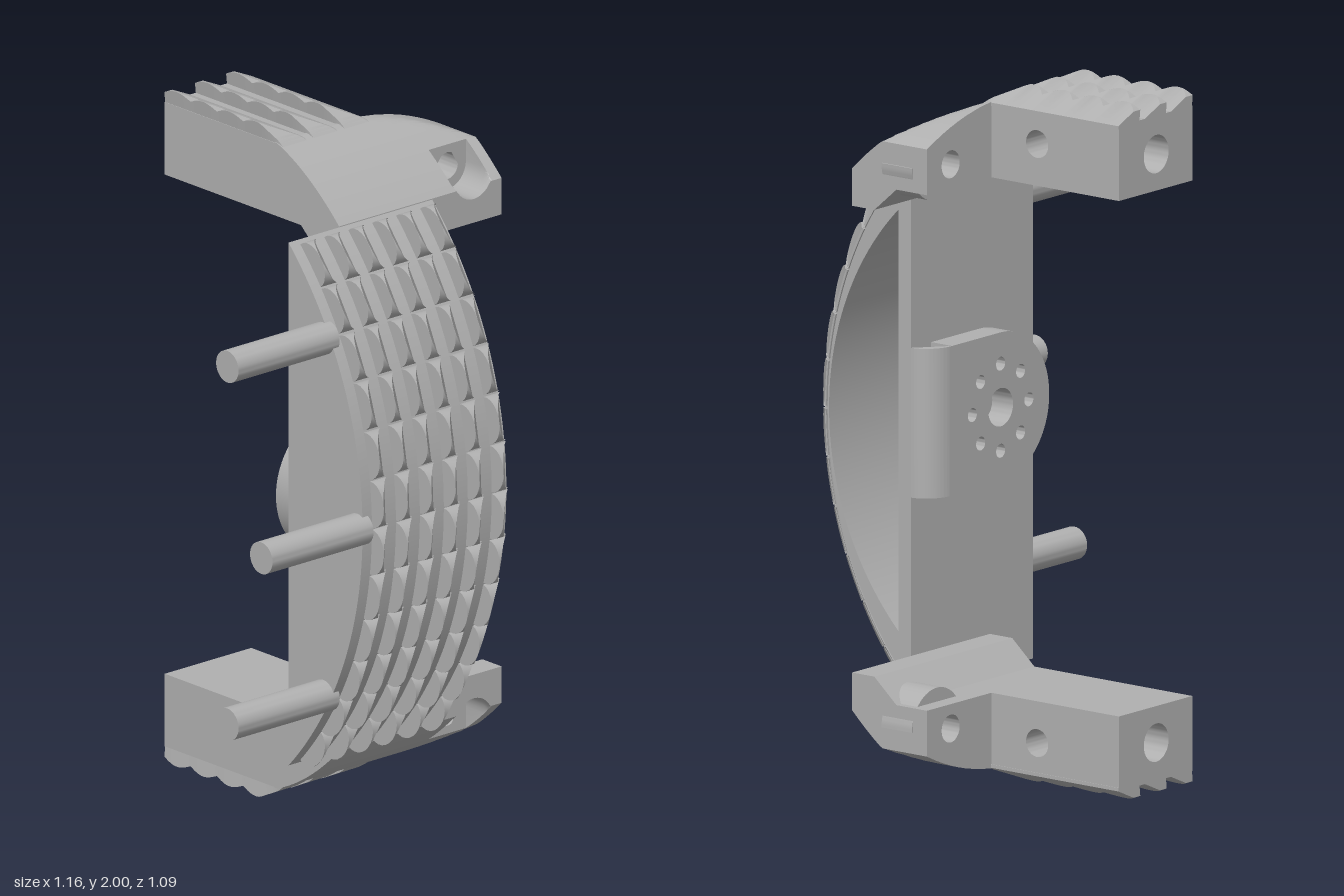
import * as THREE from 'three';
import { mergeGeometries, toCreasedNormals } from 'three/addons/utils/BufferGeometryUtils.js';

const grey = new THREE.MeshStandardMaterial({ color: 0xb0b0b0 });
grey.name = 'plain grey';

const CY = 1;                    // mirror height of the whole model
const R = 1.124, CZ = -0.634;    // curved face radius and centre

const pts = (list) => new THREE.Shape(list.map(([x, y]) => new THREE.Vector2(x, y)));
const hole = (shape, x, y, r) => {
  shape.holes.push(new THREE.Path().absarc(x, y, r, 0, Math.PI * 2, true));
  return shape;
};
const extrude = (shape, depth, steps = 1) =>
  new THREE.ExtrudeGeometry(shape, { depth, steps, bevelEnabled: false, curveSegments: 24 });

// Extrude along z, or along x from a profile drawn in (-z, y)
const alongZ = (shape, z0, z1, steps) => extrude(shape, z1 - z0, steps).translate(0, 0, z0);
const alongX = (shape, x0, x1) => extrude(shape, x1 - x0).rotateY(Math.PI / 2).translate(x0, 0, 0);

function mesh(name, geo) {
  const m = new THREE.Mesh(toCreasedNormals(geo, 0.5), grey);
  m.name = name;
  return m;
}

// Solid through equal-length convex sections
function loft(sections) {
  const n = sections[0].length, pos = [], idx = [];
  sections.forEach((s) => s.forEach((p) => pos.push(...p)));
  for (let i = 0; i < sections.length - 1; i++) {
    for (let j = 0; j < n; j++) {
      const a = i * n + j, b = i * n + (j + 1) % n;
      idx.push(a, b, a + n, b, b + n, a + n);
    }
  }
  const e = (sections.length - 1) * n;
  for (let j = 1; j < n - 1; j++) idx.push(0, j + 1, j, e, e + j, e + j + 1);
  const g = new THREE.BufferGeometry();
  g.setAttribute('position', new THREE.Float32BufferAttribute(pos, 3));
  g.setIndex(idx);
  return g.toNonIndexed();
}

// Circular-segment profile in (-z, y)
function segment(r, cz, zFlat) {
  const a = Math.acos((zFlat - cz) / r), list = [];
  for (let i = 0; i <= 48; i++) {
    const t = a - (2 * a * i) / 48;
    list.push([-(cz + r * Math.cos(t)), CY + r * Math.sin(t)]);
  }
  return list;
}

// Curved body, hollowed from its left side
function body() {
  const outer = segment(R, CZ, 0.18);
  const rim = pts(outer);
  rim.holes.push(new THREE.Path(pts(segment(0.857, -0.382, 0.225)).getPoints().reverse()));
  return mergeGeometries([alongX(pts(outer), -0.22, -0.18), alongX(rim, -0.18, 0.32)]);
}

// Rounded sloping studs over the curved face
function studs() {
  const list = [], w = 0.06, h = 0.052, pitch = 0.125;
  for (let row = 0; row < 12; row++) {
    for (let col = 0; col < 6; col++) {
      const x0 = -0.185 + col * 0.09, sections = [];
      for (let k = 0; k <= 12; k++) {
        const t = Math.cos((Math.PI * k) / 12);
        const b = h * Math.sqrt(Math.max(0, 1 - t * t));
        const a = (row - 5.5 + t * 0.48) * pitch;
        const at = (x, r) => [x, CY + (R + r) * Math.sin(a), CZ + (R + r) * Math.cos(a)];
        sections.push([at(x0, -0.01), at(x0 + w, -0.01), at(x0 + w * (1 - b / h), b), at(x0, b)]);
      }
      list.push(loft(sections));
    }
  }
  return mergeGeometries(list);
}

// Heights of the wrap-around shoulder of an arm
const topAt = (z) => 1.96 - 0.35 * (z + 0.09) - 1.2 * (z + 0.09) ** 2;
const capAt = (x) => { const u = Math.max(0, x - 0.295); return 1.957 - 0.1 * u - 0.7 * u * u; };
const bottomAt = (z) => 1.67 + 0.07 * THREE.MathUtils.clamp((0.1 - z) / 0.08, 0, 1);
const BX = 0.475, BY = 1.81;     // bolt hole

function shoulderSlab(z0, z1, steps, grooved) {
  const top = (xs) => xs.map((x) => [x, capAt(x)]);
  const list = [[-0.03, 1.67], [0.58, 1.67], ...top([0.58, 0.545])];
  if (grooved) {
    for (let i = 0; i <= 16; i++) {
      const a = (Math.PI * i) / 16;
      list.push([BX + 0.07 * Math.cos(a), BY - 0.07 * Math.sin(a)]);
    }
  } else list.push(...top([0.51, 0.475, 0.44]));
  list.push(...top([0.405, 0.35, 0.295, -0.03]));
  const shape = pts(list);
  if (!grooved) hole(shape, BX, BY, 0.04);
  const g = alongZ(shape, z0, z1, steps), p = g.attributes.position;
  for (let i = 0; i < p.count; i++) {
    const y = p.getY(i), z = p.getZ(i);
    p.setY(i, y < 1.6701 ? bottomAt(z) : Math.min(y, topAt(z)));
  }
  return g;
}

// Saw-toothed ridges with scalloped crests
function ridges() {
  const w = 0.1, h = 0.045, list = [];
  for (const x0 of [-0.035, 0.08, 0.197]) {
    const sections = [];
    for (let k = 0; k <= 49; k++) {
      const z = -0.55 + k * 0.01;
      const crest = 0.03 + 0.015 * Math.abs(Math.sin((Math.PI * (z + 0.55)) / 0.11));
      const b = Math.min(crest, Math.max(0, (-0.06 - z) * 0.5));
      const base = Math.min(1.955, topAt(Math.max(z, -0.09)));
      sections.push([[x0 + 0.008, base - 0.01, z], [x0 + w, base - 0.01, z], [x0 + w, base, z],
        [x0 + w * (1 - b / h), base + b, z], [x0 + 0.01 * (1 - b / h), base + b, z]]);
    }
    list.push(loft(sections));
  }
  return mergeGeometries(list);
}

// Upper arm parts; the lower ones are mirrored from these
function armParts() {
  const side = (z0, z1) => pts([[-z1, 1.74], [-z0, 1.74], [-z0, 1.955], [-z1, 1.955]]);
  const end = pts([[-0.03, 1.74], [0.295, 1.74], [0.295, 1.955], [-0.03, 1.955]]);
  const boss = new THREE.Shape();
  boss.absarc(BX, BY, 0.11, Math.PI, Math.PI * 2, false);
  boss.absarc(BX, BY, 0.045, Math.PI * 2, Math.PI, true);
  return {
    ArmBar: mergeGeometries([
      alongZ(hole(end, 0.13, 1.845, 0.055), -0.55, -0.4),
      alongX(side(-0.4, -0.09), -0.03, 0.13),
      alongX(hole(side(-0.4, -0.09), 0.255, 1.86, 0.04), 0.13, 0.295),
    ]),
    Shoulder: mergeGeometries([shoulderSlab(-0.09, 0.07, 16, false), shoulderSlab(0.07, 0.18, 11, true)]),
    BoltBoss: alongZ(boss, -0.04, 0.07),
    GripRidges: ridges(),
  };
}

// Flip top to bottom, keeping faces outward
function mirrored(geo) {
  const g = toCreasedNormals(geo, 0.5).translate(0, -CY, 0).scale(1, -1, 1).translate(0, CY, 0);
  g.setIndex([...Array(g.attributes.position.count).keys()].reverse());
  return g.toNonIndexed();
}

// Round-ended mounting pad with a ring of holes
function pad() {
  const cx = 0.015, r = 0.215, s = new THREE.Shape();
  s.moveTo(0.23, CY + r);
  s.lineTo(cx, CY + r);
  s.absarc(cx, CY, r, Math.PI / 2, Math.PI * 1.5, false);
  s.lineTo(0.23, CY - r);
  hole(s, cx, CY, 0.055);
  for (let i = 0; i < 8; i++) {
    const a = (i * Math.PI) / 4;
    hole(s, cx + 0.125 * Math.cos(a), CY + 0.125 * Math.sin(a), 0.02);
  }
  const edge = new THREE.Shape();
  edge.moveTo(0.23, -0.18);
  edge.absellipse(0.23, -0.18, 0.09, 0.075, 0, Math.PI / 2, false, 0);
  return mergeGeometries([
    alongZ(s, 0.105, 0.18),
    extrude(edge, 2 * r).rotateX(-Math.PI / 2).translate(0, CY - r, 0),
  ]);
}

export function createModel() {
  const model = new THREE.Group();
  model.name = 'grip';
  model.add(mesh('curvedBody', body()), mesh('studs', studs()), mesh('mountingPad', pad()));

  // Pegs on the right side
  for (const [y, z] of [[1.53, 0.325], [CY, 0.467], [0.47, 0.325]]) {
    const g = new THREE.CylinderGeometry(0.047, 0.047, 0.38, 32).rotateZ(Math.PI / 2).translate(-0.39, y, z);
    model.add(mesh('peg', g));
  }

  for (const [name, geo] of Object.entries(armParts())) {
    model.add(mesh('upper' + name, geo), mesh('lower' + name, mirrored(geo.clone())));
  }
  return model;
}
